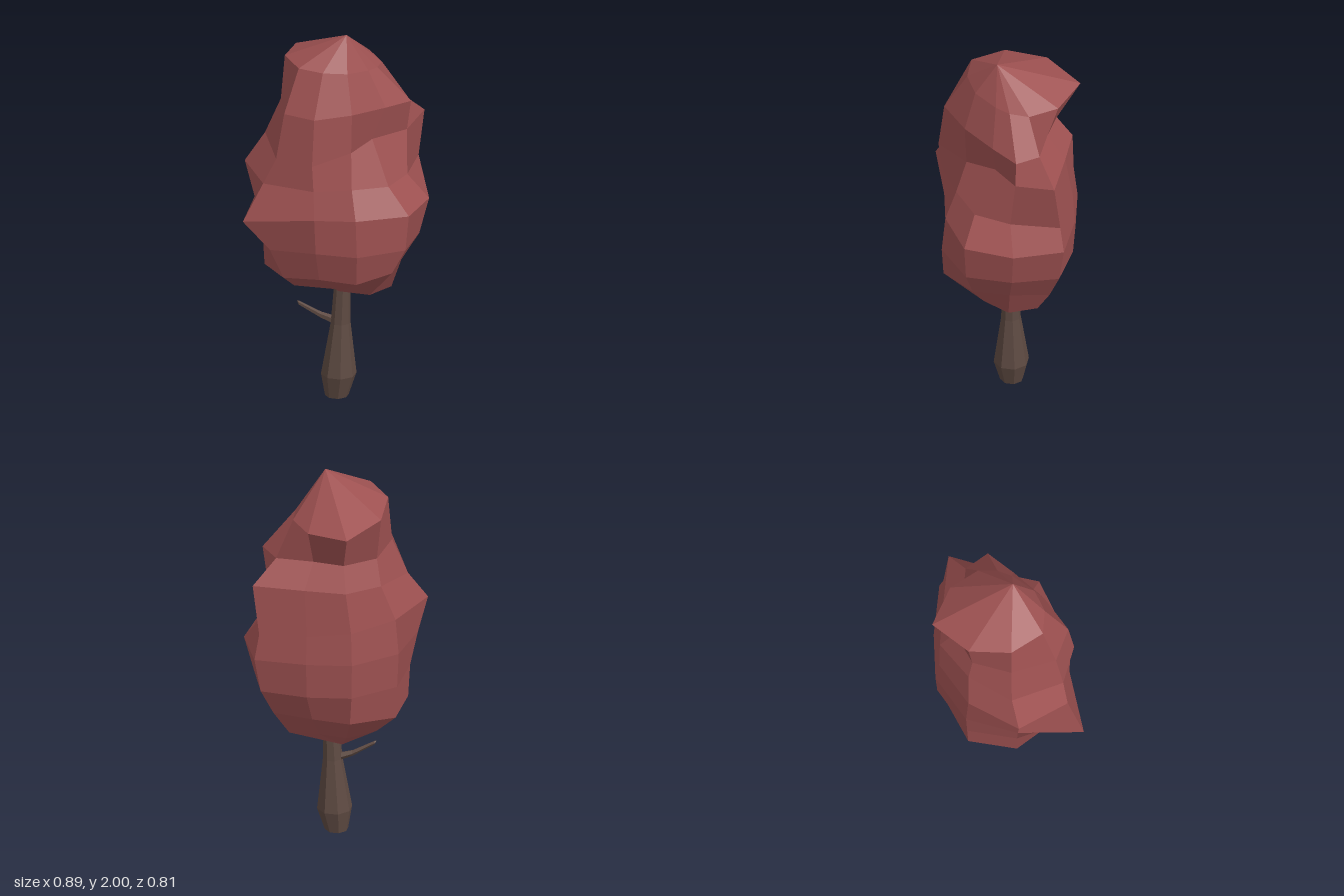
import * as THREE from 'three';

const V = (x, y, z) => new THREE.Vector3(x, y, z);
const BARK = 0x5e4a42;
const LEAF = 0x9e5151;

// Skins a stack of rings (equal point counts), first ring to last, capped by end points.
// Every facet, three- or four-cornered, gets a single flat normal.
function loft(rings, startTip, endTip, color) {
  const positions = [];
  const normals = [];
  const face = (p0, p1, p2, p3) => {
    const normal = p2.clone().sub(p0).cross((p3 ?? p0).clone().sub(p1)).normalize();
    let corners = [p0, p1, p2];
    if (p3) {
      corners = p0.distanceTo(p2) < p1.distanceTo(p3)
        ? [p0, p1, p2, p0, p2, p3]
        : [p0, p1, p3, p1, p2, p3];
    }
    for (const p of corners) {
      positions.push(p.x, p.y, p.z);
      normals.push(normal.x, normal.y, normal.z);
    }
  };
  const n = rings[0].length;
  const last = rings[rings.length - 1];
  for (let i = 0; i < n; i++) {
    const j = (i + 1) % n;
    face(rings[0][i], startTip, rings[0][j]);
    for (let k = 0; k < rings.length - 1; k++) {
      face(rings[k + 1][i], rings[k][i], rings[k][j], rings[k + 1][j]);
    }
    face(endTip, last[i], last[j]);
  }
  const geometry = new THREE.BufferGeometry();
  geometry.setAttribute('position', new THREE.Float32BufferAttribute(positions, 3));
  geometry.setAttribute('normal', new THREE.Float32BufferAttribute(normals, 3));
  return new THREE.Mesh(geometry, new THREE.MeshStandardMaterial({ color }));
}

// Faceted crown: uneven radii along ten directions, which shift between head and belly.
// Each level: height, tilt along x, tilt along z, directions, radii
function createCrown() {
  const head = [358, 50, 94, 127, 172, 214, 251, 285, 316, 337];
  const belly = [14, 54, 94, 131, 168, 207, 247, 281, 311, 341];
  const levels = [
    [1.83, -0.1, 0.1, head, [0.17, 0.15, 0.18, 0.23, 0.26, 0.32, 0.4, 0.32, 0.26, 0.21]],
    [1.62, 0, 0.06, head, [0.26, 0.21, 0.3, 0.32, 0.28, 0.29, 0.28, 0.26, 0.36, 0.38]],
    [1.44, 0, -0.13, head, [0.19, 0.2, 0.33, 0.37, 0.36, 0.32, 0.36, 0.36, 0.5, 0.36]],
    [1.25, -0.08, 0, belly, [0.31, 0.25, 0.31, 0.43, 0.46, 0.38, 0.37, 0.39, 0.49, 0.36]],
    [1.09, 0, 0, belly, [0.43, 0.31, 0.3, 0.55, 0.41, 0.4, 0.39, 0.4, 0.52, 0.47]],
    [0.9, 0, 0, belly, [0.41, 0.33, 0.28, 0.39, 0.37, 0.39, 0.38, 0.39, 0.48, 0.42]],
    [0.74, 0.05, 0, belly, [0.33, 0.32, 0.23, 0.31, 0.36, 0.38, 0.34, 0.32, 0.4, 0.33]],
    [0.61, 0, 0, belly, [0.2, 0.06, 0.02, 0.04, 0.21, 0.26, 0.25, 0.22, 0.3, 0.28]],
  ];
  const rings = levels.map(([y, tiltX, tiltZ, angles, radii]) =>
    radii.map((r, i) => {
      const a = THREE.MathUtils.degToRad(angles[i]);
      const x = r * Math.cos(a);
      const z = r * Math.sin(a);
      return V(x, y + tiltX * x + tiltZ * z, z);
    }));
  return loft(rings, V(0.06, 2, 0.01), V(-0.06, 0.53, -0.15), LEAF);
}

// Eight-sided trunk, flared just above the ground
function createTrunk() {
  const rings = [[0.64, 0.02, 0.04], [0.4, 0.01, 0.05], [0.12, 0, 0.09], [0, -0.01, 0.06]].map(([y, x, r]) =>
    Array.from({ length: 8 }, (_, i) => {
      const a = (i + 0.5) * Math.PI / 4;
      return V(x + r * Math.cos(a), y, -0.05 + r * Math.sin(a));
    }));
  return loft(rings, V(0.02, 0.64, -0.05), V(-0.01, 0, -0.05), BARK);
}

// Bent twig tapering towards its tip
function createBranch() {
  const path = [[-0.2, 0.49, -0.02, 0.01], [-0.09, 0.43, -0.04, 0.016], [0, 0.4, -0.05, 0.024]];
  const rings = path.map(([x, y, z, r]) =>
    Array.from({ length: 5 }, (_, i) => {
      const a = i * Math.PI * 2 / 5;
      return V(x, y + r * Math.sin(a), z - r * Math.cos(a));
    }));
  return loft(rings, V(-0.21, 0.5, -0.02), V(0, 0.4, -0.05), BARK);
}

export function createModel() {
  const tree = new THREE.Group();
  tree.name = 'tree';
  const parts = { crown: createCrown(), trunk: createTrunk(), branch: createBranch() };
  for (const [name, mesh] of Object.entries(parts)) {
    mesh.name = name;
    tree.add(mesh);
  }
  return tree;
}
